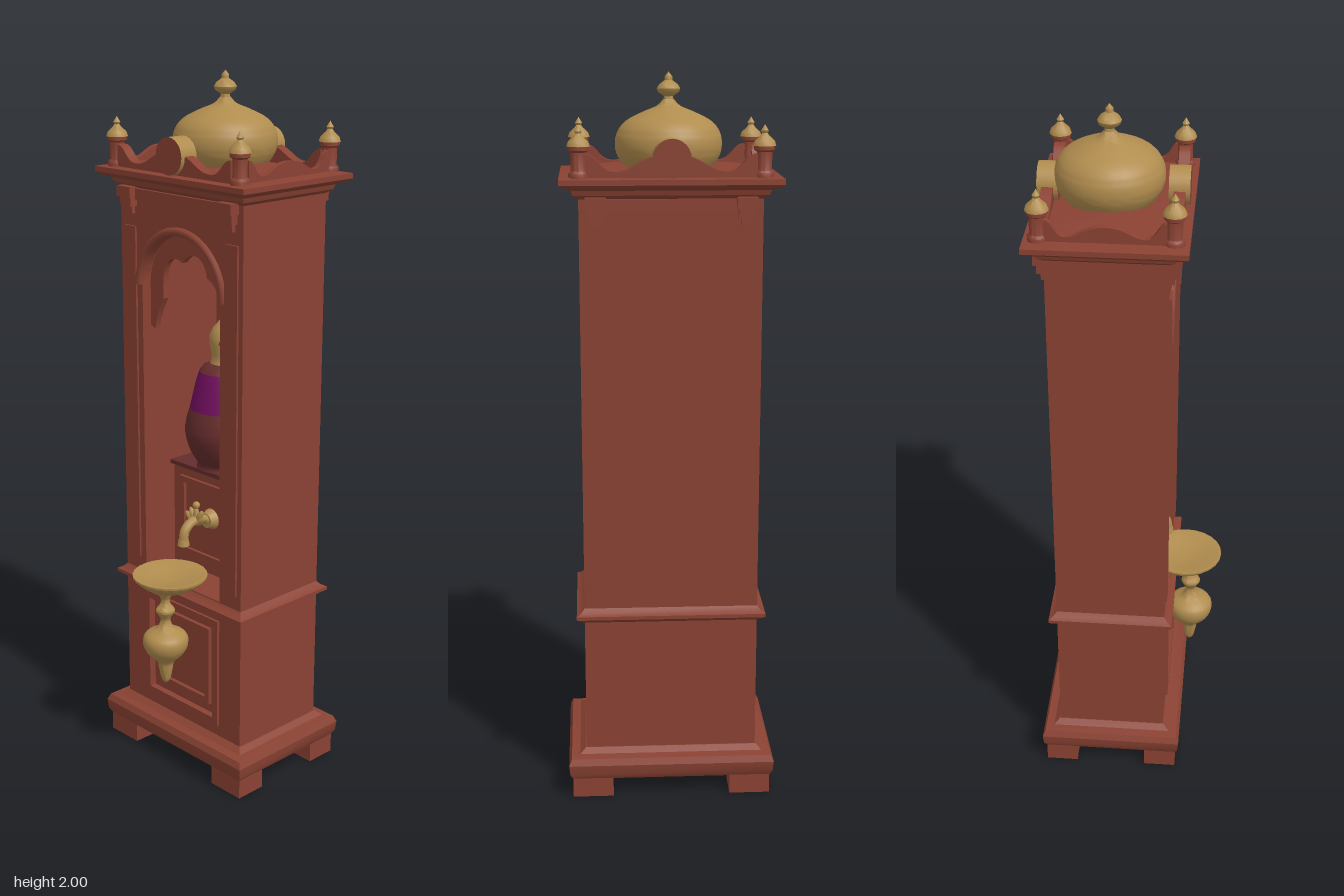
import * as THREE from 'three';
import { toCreasedNormals, mergeGeometries } from 'three/addons/utils/BufferGeometryUtils.js';

const mat = (name, color) => Object.assign(new THREE.MeshStandardMaterial({ color }), { name });
const CZ = -0.048, HX = 0.24, HZ = 0.155; // cabinet centre in z and half sizes

export function createModel() {
  const wood = mat('red wood', 0x8a4233);
  const gold = mat('antique gold', 0xb08c4e);
  const purple = mat('purple band', 0x720f60);
  const glass = mat('dark maroon', 0x652c2c);
  const root = new THREE.Group();

  const add = (name, geo, material, x = 0, y = 0, z = 0) => {
    const m = new THREE.Mesh(geo, material);
    m.name = name;
    m.position.set(x, y, z);
    root.add(m);
    return m;
  };
  const box = (name, x0, x1, y0, y1, z0, z1, material = wood) =>
    add(name, new THREE.BoxGeometry(x1 - x0, y1 - y0, z1 - z0), material, (x0 + x1) / 2, (y0 + y1) / 2, (z0 + z1) / 2);
  const lathe = (name, pts, material, x, z, seg = 24) =>
    add(name, toCreasedNormals(new THREE.LatheGeometry(pts.map(p => new THREE.Vector2(p[0], p[1])), seg), 0.8), material, x, 0, z);
  const curveProfile = (pts, n = 28) =>
    new THREE.SplineCurve(pts.map(p => new THREE.Vector2(p[0], p[1]))).getPoints(n).map(p => [Math.max(p.x, 0), p.y]);
  const extrude = (shape, depth, curveSegments = 12) =>
    toCreasedNormals(new THREE.ExtrudeGeometry(shape, { depth, bevelEnabled: false, curveSegments }), 0.6);
  const rect = (path, x0, x1, y0, y1) =>
    path.moveTo(x0, y0).lineTo(x1, y0).lineTo(x1, y1).lineTo(x0, y1).closePath();

  // Rectangular moulding swept round the cabinet: rows of [y, outset]
  const moulding = (name, rows) => {
    const pos = [], idx = [];
    rows.forEach(([y, o]) => [[-1, 1], [1, 1], [1, -1], [-1, -1]].forEach(([sx, sz]) =>
      pos.push(sx * (HX + o), y, CZ + sz * (HZ + o))));
    for (let r = 0; r < rows.length - 1; r++) for (let i = 0; i < 4; i++) {
      const a = r * 4 + i, b = r * 4 + (i + 1) % 4;
      idx.push(a, b, b + 4, a, b + 4, a + 4);
    }
    const t = (rows.length - 1) * 4;
    idx.push(t, t + 1, t + 2, t, t + 2, t + 3, 0, 2, 1, 0, 3, 2);
    const g = new THREE.BufferGeometry();
    g.setAttribute('position', new THREE.Float32BufferAttribute(pos, 3));
    g.setIndex(idx);
    g.computeVertexNormals();
    return add(name, toCreasedNormals(g, 0.5), wood);
  };

  // Feet, plinth, belt and cornice
  for (const x of [-0.222, 0.222]) for (const z of [0.1, -0.196])
    box('foot', x - 0.057, x + 0.057, 0, 0.062, z - 0.046, z + 0.046);
  moulding('plinth', [[0.055, 0.038], [0.07, 0.047], [0.1, 0.05], [0.118, 0.042], [0.122, 0.018], [0.135, 0.002]]);
  moulding('belt', [[0.515, 0], [0.525, 0.014], [0.53, 0.022], [0.54, 0.022], [0.546, 0.01], [0.557, 0]]);
  moulding('cornice', [[1.685, 0], [1.695, 0.014], [1.708, 0.018], [1.716, 0.04], [1.724, 0.05], [1.738, 0.05], [1.74, 0.035], [1.765, -0.12]]);

  // Lower cabinet with recessed door panel
  const front = CZ + HZ;
  box('lowerCabinet', -HX, HX, 0.12, 0.54, CZ - HZ, front - 0.018);
  const lower = new THREE.Shape();
  rect(lower, -HX, HX, 0.12, 0.54);
  const lowerHole = new THREE.Path();
  rect(lowerHole, -0.14, 0.14, 0.185, 0.485);
  lower.holes.push(lowerHole);
  add('lowerFrame', extrude(lower, 0.018), wood, 0, 0, front - 0.018);
  const panelFrame = (name, w, y0, y1, z, t) => {
    const s = new THREE.Shape();
    rect(s, -w, w, y0, y1);
    const h = new THREE.Path();
    rect(h, -w + t, w - t, y0 + t, y1 - t);
    s.holes.push(h);
    add(name, extrude(s, 0.012), wood, 0, 0, z);
  };
  panelFrame('doorMoulding', 0.155, 0.17, 0.5, front - 0.004, 0.02);
  panelFrame('doorInnerMoulding', 0.105, 0.215, 0.455, front - 0.018, 0.018);

  // Upper case: back, sides, floor, ceiling
  box('backWall', -HX, HX, 0.54, 1.7, CZ - HZ, CZ - HZ + 0.022);
  for (const s of [-1, 1]) {
    const a = s * 0.158, b = s * HX;
    box('sideWall', Math.min(a, b), Math.max(a, b), 0.54, 1.7, CZ - HZ + 0.02, front - 0.028);
  }
  box('nicheFloor', -0.16, 0.16, 0.53, 0.56, CZ - HZ + 0.02, front);
  box('nicheCeiling', -0.16, 0.16, 1.59, 1.7, CZ - HZ + 0.02, front - 0.02);

  // Face frame with a round arch
  const face = new THREE.Shape();
  rect(face, -HX, HX, 0.555, 1.7);
  const arch = new THREE.Path();
  arch.moveTo(-0.155, 0.56).lineTo(0.155, 0.56).lineTo(0.155, 1.42).absarc(0, 1.42, 0.155, 0, Math.PI, false).closePath();
  face.holes.push(arch);
  add('faceFrame', extrude(face, 0.028, 24), wood, 0, 0, front - 0.028);
  add('archMoulding', new THREE.TorusGeometry(0.166, 0.012, 8, 32, Math.PI), wood, 0, 1.42, front);

  // Scalloped plate hanging inside the arch
  const foil = new THREE.Shape();
  foil.moveTo(0.157, 1.3).lineTo(0.157, 1.42).absarc(0, 1.42, 0.157, 0, Math.PI, false).lineTo(-0.157, 1.3);
  for (let i = 0; i <= 70; i++) {
    const t = Math.PI * (1 - i / 70), u = Math.abs(Math.sin(t * 3.5));
    const r = 0.112 + 0.024 * u;
    foil.lineTo(r * Math.cos(t) * 1.02, 1.38 + r * Math.sin(t) * (1.05) - 0.09 * Math.pow(Math.abs(Math.cos(t)), 6));
  }
  foil.closePath();
  add('scallopedArch', extrude(foil, 0.018, 24), wood, 0, 0, front - 0.05);

  // Raised pilaster strips, brackets and frieze
  for (const s of [-1, 1]) {
    box('pilaster', s * 0.2 - 0.024, s * 0.2 + 0.024, 0.6, 1.58, front, front + 0.006);
    for (const f of [-1, 1]) {
      const z = CZ + f * HZ;
      const b = (n, w, y0, y1, d) => box(n, s * 0.196 - w, s * 0.196 + w, y0, y1, z - d, z + d);
      b('bracketTop', 0.027, 1.66, 1.69, 0.03);
      b('bracketMiddle', 0.022, 1.635, 1.66, 0.022);
      b('bracketDrop', 0.015, 1.615, 1.635, 0.012);
    }
  }
  for (const f of [-1, 1]) {
    const z = CZ + f * HZ;
    box('frieze', -0.17, 0.17, 1.655, 1.685, z - 0.01, z + 0.01);
  }

  // Arched panel on the niche back
  const backPanel = new THREE.Shape();
  backPanel.moveTo(-0.12, 0.9).lineTo(0.12, 0.9).lineTo(0.12, 1.4).absarc(0, 1.4, 0.12, 0, Math.PI, false).closePath();
  const backHole = new THREE.Path();
  backHole.moveTo(-0.1, 0.92).lineTo(0.1, 0.92).lineTo(0.1, 1.4).absarc(0, 1.4, 0.1, 0, Math.PI, false).closePath();
  backPanel.holes.push(backHole);
  add('nicheBackMoulding', extrude(backPanel, 0.01, 20), wood, 0, 0, CZ - HZ + 0.02);

  // Inner cupboard carrying the bottle
  box('innerCupboard', -0.158, 0.158, 0.555, 0.87, CZ - HZ + 0.02, -0.01);
  box('shelf', -0.158, 0.158, 0.87, 0.882, CZ - HZ + 0.02, 0.005, glass);
  panelFrame('cupboardMoulding', 0.125, 0.6, 0.84, -0.012, 0.018);

  // Bottle
  const BZ = -0.06;
  lathe('bottleBody', curveProfile([[0, 0.882], [0.074, 0.884], [0.076, 0.9], [0.098, 0.94], [0.112, 0.99], [0.108, 1.03], [0.098, 1.065]]), glass, 0, BZ, 32);
  lathe('bottleBand', [[0.098, 1.065], [0.09, 1.1], [0.081, 1.14], [0.071, 1.172]], purple, 0, BZ, 32);
  lathe('bottleShoulder', [[0.071, 1.172], [0.06, 1.186], [0.04, 1.195], [0, 1.196]], glass, 0, BZ, 32);
  lathe('bottleCap', [[0, 1.18], [0.045, 1.185], [0.036, 1.205], [0.036, 1.22], [0.042, 1.25], [0.043, 1.275], [0.032, 1.298], [0.014, 1.318], [0.008, 1.33], [0, 1.342]], gold, 0, BZ, 16);

  // Tap: flower plate, spout and handle
  const flange = add('tapFlange', new THREE.CylinderGeometry(0.022, 0.032, 0.025, 16), gold, 0, 0.735, 0.0);
  flange.rotation.x = Math.PI / 2;
  const spout = new THREE.CatmullRomCurve3([[0, 0.735, 0], [0, 0.745, 0.035], [0, 0.745, 0.07], [0, 0.725, 0.095], [0, 0.695, 0.1]].map(p => new THREE.Vector3(...p)));
  add('tapSpout', new THREE.TubeGeometry(spout, 16, 0.014, 10), gold);
  add('tapTip', new THREE.CylinderGeometry(0.015, 0.018, 0.016, 12), gold, 0, 0.692, 0.1);
  const petals = [];
  for (let i = -2; i <= 2; i++) {
    const p = new THREE.SphereGeometry(0.012, 10, 8);
    p.scale(0.8, 2.4, 0.8);
    p.translate(0, 0.024, 0);
    p.rotateZ(i * 0.5);
    petals.push(p);
  }
  add('tapHandle', mergeGeometries(petals), gold, 0, 0.735, 0.05);
  add('tapKnob', new THREE.SphereGeometry(0.011, 12, 8), gold, 0, 0.793, 0.05);

  // Drip bowl with hanging pendant
  lathe('dripBowl', [[0, 0.555], [0.025, 0.558], [0.065, 0.572], [0.092, 0.59], [0.107, 0.605], [0.107, 0.611], [0.098, 0.611], [0.06, 0.598], [0, 0.592]], gold, 0, 0.153, 24);
  lathe('pendant', curveProfile([[0, 0.272], [0.012, 0.285], [0.02, 0.32], [0.026, 0.345], [0.055, 0.375], [0.066, 0.405], [0.058, 0.43], [0.025, 0.45], [0.014, 0.475], [0.022, 0.492], [0.028, 0.505], [0.016, 0.522], [0.013, 0.54], [0.026, 0.562]], 44), gold, 0, 0.172, 20);

  // Dome and finial
  lathe('dome', curveProfile([[0.1, 1.735], [0.125, 1.765], [0.141, 1.8], [0.138, 1.84], [0.115, 1.872], [0.07, 1.896], [0.032, 1.912], [0.014, 1.93]]), gold, 0, -0.06, 32);
  lathe('finial', [[0.014, 1.925], [0.012, 1.937], [0.028, 1.948], [0.031, 1.957], [0.024, 1.968], [0.01, 1.978], [0.01, 1.988], [0, 2]], gold, 0, -0.06, 16);

  // Gallery: corner posts, wavy rails, roundels
  const PX = 0.238, PZ = 0.167;
  for (const sx of [-1, 1]) for (const sz of [-1, 1]) {
    const x = sx * PX, z = CZ + sz * PZ;
    lathe('cornerPost', [[0, 1.735], [0.026, 1.737], [0.026, 1.752], [0.02, 1.758], [0.02, 1.805], [0.027, 1.81], [0.027, 1.822], [0, 1.823]], wood, x, z, 12);
    lathe('postCap', [[0, 1.818], [0.03, 1.82], [0.026, 1.832], [0.012, 1.845], [0.007, 1.852], [0.01, 1.858], [0, 1.874]], gold, x, z, 12);
  }
  const rail = (half, mid) => {
    const s = new THREE.Shape();
    s.moveTo(-half, 1.735).lineTo(half, 1.735).lineTo(half, 1.8);
    s.bezierCurveTo(half * 0.84, 1.8, half * 0.84, 1.75, half * 0.62, 1.757);
    s.bezierCurveTo(half * 0.42, 1.758, half * 0.35, mid, 0, mid);
    s.bezierCurveTo(-half * 0.35, mid, -half * 0.42, 1.758, -half * 0.62, 1.757);
    s.bezierCurveTo(-half * 0.84, 1.75, -half * 0.84, 1.8, -half, 1.8);
    return s;
  };
  for (const s of [-1, 1]) {
    const z = CZ + s * PZ;
    add('longRail', extrude(rail(0.22, 1.8), 0.03), wood, 0, 0, z - 0.015);
    add('sideRail', extrude(rail(0.15, 1.785), 0.016), wood, s * 0.245 - 0.008, 0, CZ).rotation.y = Math.PI / 2;
    const disc = new THREE.CylinderGeometry(0.05, 0.05, 0.054, 24);
    disc.rotateX(Math.PI / 2);
    add('roundel', disc, [gold, wood, wood], 0, 1.79, z);
  }
  return root;
}
